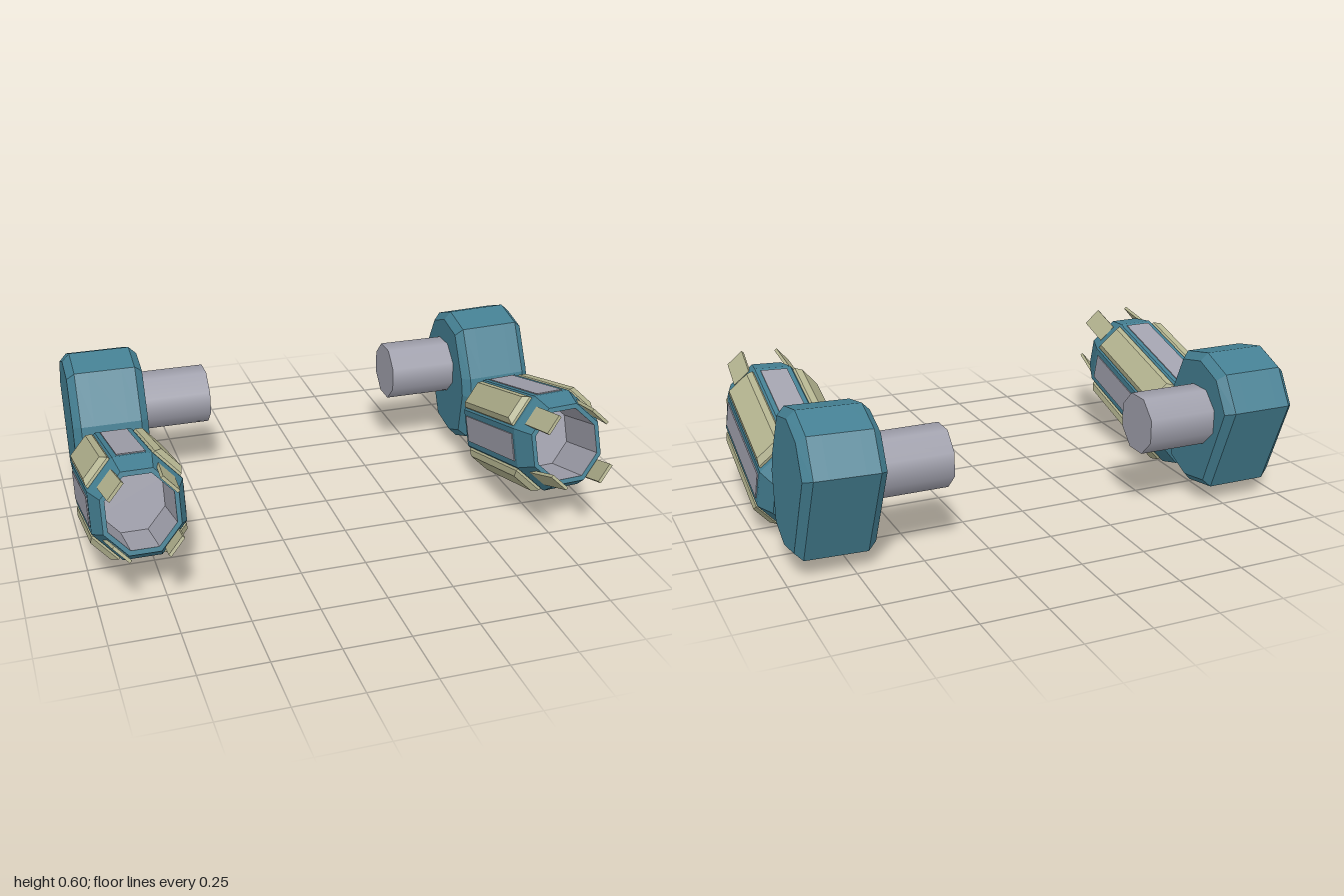
import * as THREE from 'three';

const mat = (name, color) => {
  const m = new THREE.MeshStandardMaterial({ color });
  m.name = name;
  return m;
};

// Straight-sided body through cross-sections [z, [[x, y], ...]], corners counter-clockwise seen from +z
function loft(rings, capStart = true, capEnd = true) {
  const pos = [];
  const tri = (...pts) => pts.forEach(p => pos.push(...p));
  const R = rings.map(([z, pts]) => pts.map(([x, y]) => [x, y, z]));
  const n = R[0].length;
  for (let i = 0; i < R.length - 1; i++) {
    for (let j = 0; j < n; j++) {
      const k = (j + 1) % n;
      tri(R[i][j], R[i][k], R[i + 1][k]);
      tri(R[i][j], R[i + 1][k], R[i + 1][j]);
    }
  }
  const a = R[0], b = R[R.length - 1];
  const mid = r => [0, 1, 2].map(c => r.reduce((s, p) => s + p[c], 0) / n);
  for (let j = 0; j < n; j++) {
    const k = (j + 1) % n;
    if (capStart) tri(mid(a), a[k], a[j]);
    if (capEnd) tri(mid(b), b[j], b[k]);
  }
  const g = new THREE.BufferGeometry();
  g.setAttribute('position', new THREE.Float32BufferAttribute(pos, 3));
  g.computeVertexNormals();
  return g;
}

const rect = (w, h) => [[w, -h], [w, h], [-w, h], [-w, -h]];
const octagon = (w, h) => {
  const a = w * 0.414, b = h * 0.414;
  return [[w, -b], [w, b], [a, h], [-a, h], [-w, b], [-w, -b], [-a, -h], [a, -h]];
};

function add(parent, name, geometry, material, x = 0, y = 0, z = 0) {
  const m = new THREE.Mesh(geometry, material);
  m.name = name;
  m.position.set(x, y, z);
  parent.add(m);
  return m;
}

function group(parent, name, x = 0, y = 0, z = 0) {
  const g = new THREE.Group();
  g.name = name;
  g.position.set(x, y, z);
  parent.add(g);
  return g;
}

// Upper arm outline as [-z, y]
const outline = [[0.33, 0.05], [0.48, 0.075], [0.62, 0.42], [0.54, 0.55], [0.41, 0.6],
  [0.27, 0.57], [0.18, 0.38], [0.165, 0.3], [0.21, 0.1]];
const inset = outline.map(([a, b]) => [0.39 + (a - 0.39) * 0.87, 0.33 + (b - 0.33) * 0.89]);
// Middle slab, cut away below to leave a fork for the elbow
const middle = [[0.43, 0.066], ...outline.slice(1, 8), [0.3, 0.28], [0.41, 0.2]];

function upperArm(parent, M) {
  const g = group(parent, 'upperArm');
  g.rotation.y = Math.PI / 2;
  add(g, 'armCore', loft([[-0.066, middle], [0.066, middle]]), M.teal);
  add(g, 'forkSideA', loft([[0.065, outline], [0.1175, outline], [0.1475, inset]]), M.teal);
  add(g, 'forkSideB', loft([[-0.1475, inset], [-0.1175, outline], [-0.065, outline]]), M.teal);
}

function forearm(parent, M, y, z, pitch) {
  const g = group(parent, 'forearm', 0, y, z);
  g.rotation.x = -pitch;

  // Barrel shell with a rim turning into an open muzzle
  add(g, 'barrel', loft([
    [-0.07, octagon(0.13, 0.15)], [0, octagon(0.17, 0.187)], [0.51, octagon(0.17, 0.187)],
    [0.6, octagon(0.138, 0.15)], [0.6, octagon(0.122, 0.132)],
  ], true, false), M.teal);
  add(g, 'muzzleBore', loft([[0.6, octagon(0.122, 0.132)], [0.34, octagon(0.122, 0.132)]], false, true), M.gray);

  // Flat inlays on the top, bottom and sides
  for (const s of [-1, 1]) {
    add(g, 'sideInlay', new THREE.BoxGeometry(0.008, 0.108, 0.47), M.gray, s * 0.17, 0, 0.255);
    add(g, 'topBottomInlay', new THREE.BoxGeometry(0.104, 0.008, 0.47), M.gray, 0, s * 0.187, 0.255);
  }

  // Raised armour plates and claws on the diagonals
  const plate = loft([[-0.005, rect(0.064, 0.24)], [0.01, rect(0.064, 0.24)], [0.03, rect(0.048, 0.222)]]);
  for (const sx of [-1, 1]) {
    for (const sy of [-1, 1]) {
      const turn = Math.atan2(sy * 0.1, sx * 0.11) - Math.PI / 2;
      const p = group(g, 'armourMount', sx * 0.12, sy * 0.132, 0.255);
      p.rotation.z = turn;
      add(p, 'armourPlate', plate, M.tan).rotation.x = -Math.PI / 2;

      const c = group(g, 'clawMount', sx * 0.1, sy * 0.115, 0.63);
      c.rotation.z = turn;
      add(c, 'claw', new THREE.BoxGeometry(0.08, 0.012, 0.17), M.tan).rotation.x = 0.1;
    }
  }
}

function arm(parent, M, side) {
  const left = side > 0;
  const x = left ? 0.808 : -0.818;
  const g = group(parent, left ? 'leftArm' : 'rightArm', x, 0, 0);

  // Shoulder pin, pointing inwards
  const pin = add(g, 'shoulderPin', new THREE.CylinderGeometry(0.117, 0.117, 0.29, 8), M.gray,
    -side * 0.275, 0.36, -0.412);
  pin.rotation.set(Math.PI / 8, 0, Math.PI / 2);

  // The left arm is rolled a little
  const upper = group(g, 'upperAssembly', left ? 0.01 : 0, 0, 0);
  upper.rotation.z = left ? 0.03 : 0;
  upperArm(upper, M);

  const lower = group(g, 'lowerAssembly', left ? 0.02 : -0.002, 0, 0);
  lower.rotation.z = left ? 0.05 : 0;
  forearm(lower, M, left ? 0.2 : 0.192, left ? -0.107 : -0.09, left ? 0.275 : 0.265);

  // Elbow disc in the fork and the neck joining it to the barrel
  const disc = add(lower, 'elbowDisc', new THREE.CylinderGeometry(0.137, 0.137, 0.124, 8).toNonIndexed(), M.gray,
    0, left ? 0.137 : 0.145, -0.265);
  disc.geometry.computeVertexNormals();
  disc.rotation.set(Math.PI / 8 + 0.1, 0, Math.PI / 2);
  const neck = add(lower, 'elbowNeck', new THREE.BoxGeometry(0.15, 0.13, 0.12), M.gray, 0, 0.14, -0.18);
  neck.rotation.x = -0.27;
}

export function createModel() {
  const model = new THREE.Group();
  model.name = 'armPair';
  const M = {
    teal: mat('teal armour', 0x447f92),
    tan: mat('tan plating', 0xb3b38f),
    gray: mat('gray metal', 0xa1a1ad),
  };
  for (const side of [-1, 1]) arm(model, M, side);
  return model;
}
